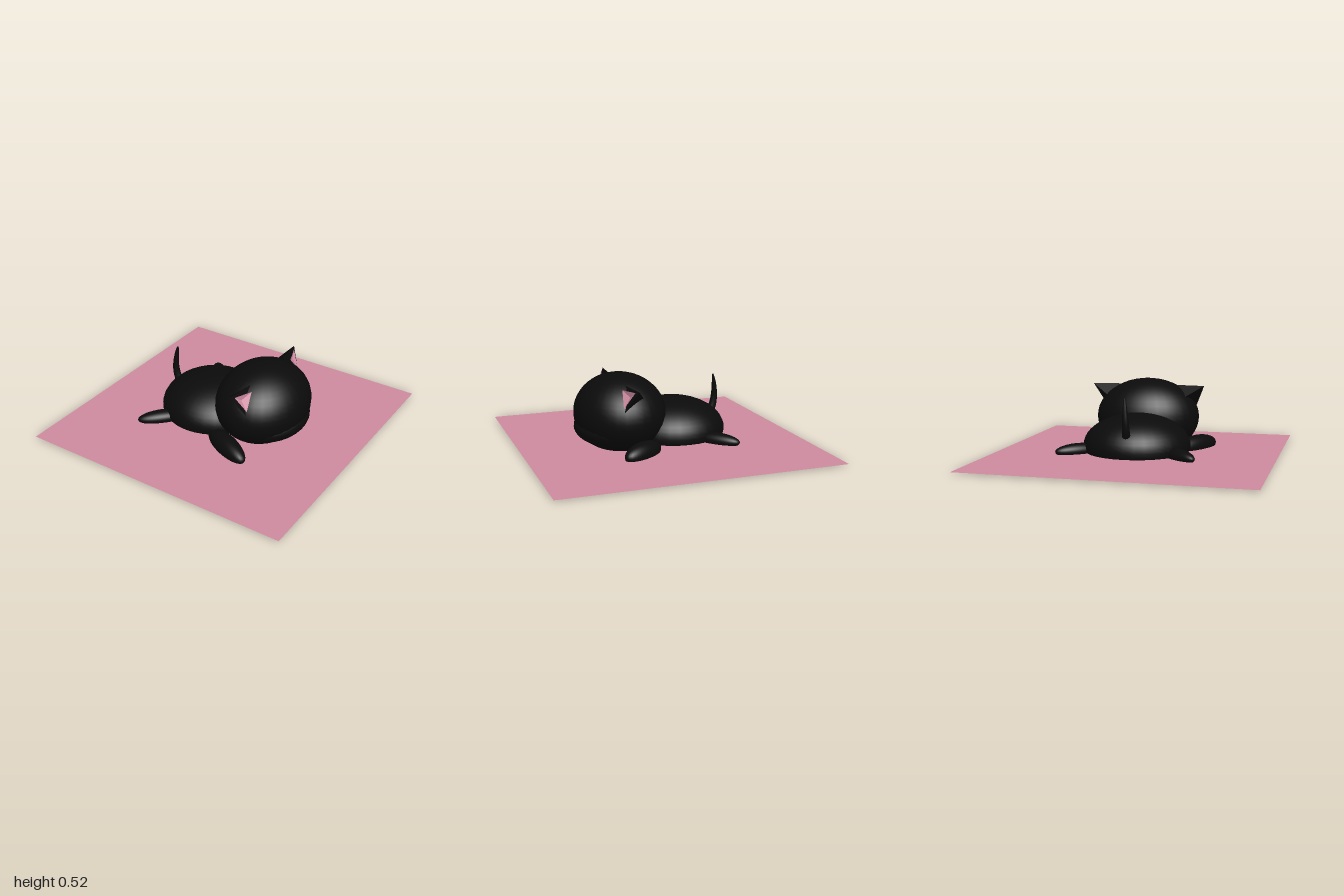
import * as THREE from 'three';

export function createModel() {
  const root = new THREE.Group();
  const fur = new THREE.MeshStandardMaterial({ color: 0x0b0b0b });
  const earFur = new THREE.MeshStandardMaterial({ color: 0x0b0b0b, side: THREE.DoubleSide, flatShading: true });
  const pink = new THREE.MeshStandardMaterial({ color: 0xd08ca2, side: THREE.DoubleSide });

  function add(name, geometry, material) {
    const mesh = new THREE.Mesh(geometry, material);
    mesh.name = name;
    root.add(mesh);
    return mesh;
  }

  // Ellipsoid whose underside is pressed flat at the given floor height
  function blob(name, [x, y, z], [rx, ry, rz], floor, yaw = 0) {
    const g = new THREE.SphereGeometry(1, 32, 24);
    g.scale(rx, ry, rz).rotateY(yaw).translate(x, y, z);
    const p = g.attributes.position;
    for (let i = 0; i < p.count; i++) p.setY(i, Math.max(p.getY(i), floor));
    return add(name, g, fur);
  }

  // Leg lying on the ground from hip to paw tip
  function leg(name, [x0, z0], [x1, z1], floor, height, width) {
    const dx = x1 - x0, dz = z1 - z0;
    blob(name, [(x0 + x1) / 2, floor + 0.02, (z0 + z1) / 2],
      [Math.hypot(dx, dz) / 2, height, width], floor, Math.atan2(-dz, dx));
  }

  // Triangles from corner points
  function facets(points, faces) {
    const g = new THREE.BufferGeometry();
    g.setAttribute('position', new THREE.Float32BufferAttribute(faces.flatMap(i => points[i]), 3));
    g.computeVertexNormals();
    return g;
  }

  // Mat
  add('mat', new THREE.PlaneGeometry(2, 2).rotateX(-Math.PI / 2).translate(0, 0.01, 0), pink);

  // Body, head and cheeks
  blob('body', [-0.13, 0.085, 0.02], [0.382, 0.225, 0.38], 0.045);
  blob('head', [0.275, 0.235, 0], [0.325, 0.285, 0.383], 0.013);
  blob('cheeks', [0.31, 0.14, 0], [0.292, 0.14, 0.33], 0.0);

  // Legs
  leg('frontLegLeft', [0.02, 0.29], [0.41, 0.48], 0.02, 0.075, 0.075);
  leg('frontLegRight', [0.08, -0.28], [0.38, -0.49], 0.02, 0.075, 0.075);
  leg('rearLegLeft', [-0.22, 0.22], [-0.475, 0.495], 0.045, 0.05, 0.06);
  leg('rearLegRight', [-0.22, -0.22], [-0.445, -0.48], 0.045, 0.05, 0.06);

  // Ears with pink inner faces
  for (const s of [1, -1]) {
    const side = s > 0 ? 'Left' : 'Right';
    const outer = [[0.27, 0.472, 0.425], [0.30, 0.472, 0.17], [0.35, 0.32, 0.355], [0.18, 0.38, 0.27]];
    const inner = [[0.287, 0.462, 0.395], [0.335, 0.455, 0.26], [0.352, 0.345, 0.345], [0.305, 0.42, 0.34]];
    const flip = ([x, y, z]) => [x, y, z * s];
    add('ear' + side, facets(outer.map(flip), [0, 1, 2, 0, 3, 1, 0, 2, 3, 1, 3, 2]), earFur);
    add('innerEar' + side, facets(inner.map(flip), [0, 1, 3, 1, 2, 3, 2, 0, 3]), pink);
  }

  // Tail: tube narrowed towards its tip
  const path = new THREE.CatmullRomCurve3([
    [-0.40, 0.13, 0.03], [-0.45, 0.20, 0.03], [-0.468, 0.28, 0.03],
    [-0.466, 0.37, 0.025], [-0.453, 0.455, 0.02],
  ].map(p => new THREE.Vector3(...p)));
  const rings = 20, sides = 12;
  const tail = new THREE.TubeGeometry(path, rings, 0.033, sides);
  const p = tail.attributes.position, v = new THREE.Vector3();
  for (let i = 0; i < p.count; i++) {
    const t = Math.floor(i / (sides + 1)) / rings;
    const c = path.getPointAt(t);
    v.fromBufferAttribute(p, i).sub(c).multiplyScalar(Math.sqrt(1 - t * 0.98)).add(c);
    p.setXYZ(i, v.x, v.y, v.z);
  }
  add('tail', tail, fur);

  return root;
}
